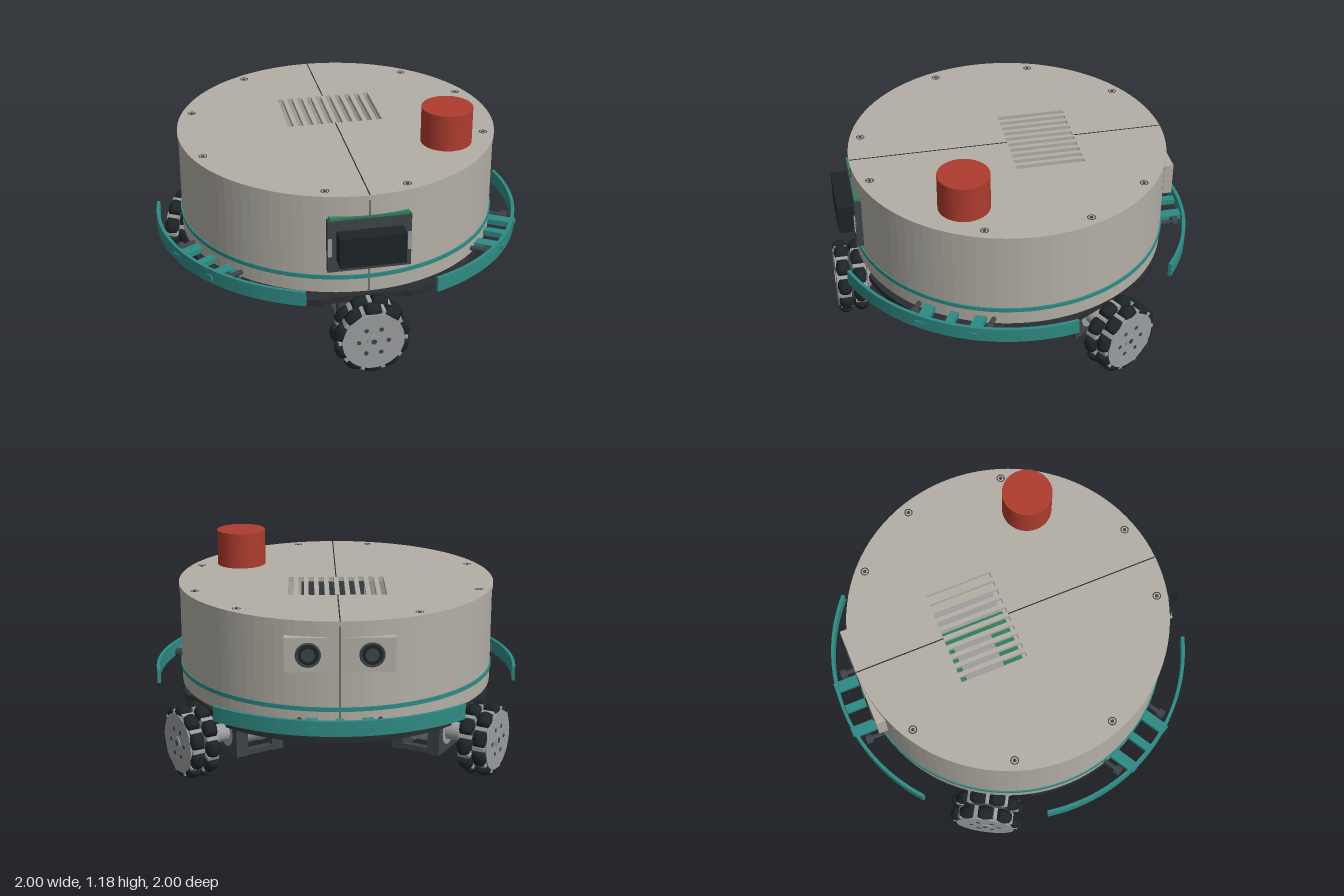
import * as THREE from 'three';

const paint = (color) => new THREE.MeshStandardMaterial({ color, side: THREE.DoubleSide });
const M = {
  shell: paint(0xb3afa6), grey: paint(0x9a9c9e), dark: paint(0x3c4347), plate: paint(0x2a2d2f),
  rubber: paint(0x1d2427), teal: paint(0x2f8a84), red: paint(0xae3c2e), green: paint(0x2f7f58),
};

function add(parent, name, geo, mat, x = 0, y = 0, z = 0) {
  const mesh = new THREE.Mesh(geo, mat);
  mesh.name = name;
  mesh.position.set(x, y, z);
  parent.add(mesh);
  return mesh;
}
const box = (w, h, d) => new THREE.BoxGeometry(w, h, d);
const cyl = (r, h, n = 32, r2 = r) => new THREE.CylinderGeometry(r2, r, h, n);
const cylZ = (r, h, n = 32, r2 = r) => cyl(r, h, n, r2).rotateX(Math.PI / 2);

// Horizontal slab: plan shape (x, -z) extruded upwards
const slab = (shape, depth, seg = 48) =>
  new THREE.ExtrudeGeometry(shape, { depth, bevelEnabled: false, curveSegments: seg }).rotateX(-Math.PI / 2);

const disc = (r) => new THREE.Shape().absarc(0, 0, r, 0, Math.PI * 2);
function ring(outer, inner) {
  const s = disc(outer);
  s.holes.push(new THREE.Path().absarc(0, 0, inner, 0, Math.PI * 2, true));
  return s;
}
function rectPath(x0, y0, x1, y1) {
  return new THREE.Path([[x0, y0], [x0, y1], [x1, y1], [x1, y0]].map(([x, y]) => new THREE.Vector2(x, y)));
}
function spoke(parent, name, angle) {
  const g = new THREE.Group();
  g.name = name;
  g.rotation.y = angle;
  parent.add(g);
  return g;
}

function buildBody(root) {
  const body = new THREE.Group();
  body.name = 'body';
  root.add(body);
  add(body, 'shellWall', slab(ring(0.857, 0.83), 0.525), M.shell, 0, 0.43);
  add(body, 'shellFloor', slab(disc(0.83), 0.015), M.shell, 0, 0.435);
  add(body, 'trimRing', slab(ring(0.864, 0.85), 0.022), M.teal, 0, 0.51);

  // Lid with ventilation slots
  const lid = disc(0.862);
  for (let i = 0; i < 10; i++) {
    const x = -0.246 + i * 0.0547;
    lid.holes.push(rectPath(x - 0.015, 0, x + 0.015, 0.37));
  }
  add(body, 'lid', slab(lid, 0.025), M.shell, 0, 0.957);
  add(body, 'circuitBoard', box(0.44, 0.02, 0.42), M.green, -0.06, 0.6, -0.18);
  add(body, 'boardModule', box(0.2, 0.06, 0.22), M.grey, -0.06, 0.64, -0.2);
  add(body, 'innerTray', box(0.12, 0.02, 0.4), M.grey, 0.22, 0.6, -0.18);

  // Lid screws
  for (const [x, z] of [[-0.405, -0.7], [0.52, -0.62], [0.757, -0.277], [-0.757, -0.277],
    [-0.757, 0.27], [0.757, 0.27], [-0.21, 0.775], [0.21, 0.775]]) {
    add(body, 'lidScrewRim', new THREE.RingGeometry(0.017, 0.023, 20).rotateX(-Math.PI / 2), M.dark, x, 0.9835, z);
    add(body, 'lidScrew', cyl(0.01, 0.004, 6), M.dark, x, 0.983, z);
  }

  // Seam between the two shell halves
  for (const [z, d] of [[0.43, 0.86], [-0.615, 0.49]]) add(body, 'lidSeam', box(0.006, 0.002, d), M.plate, 0, 0.982, z);
  for (const z of [0.858, -0.858]) add(body, 'wallSeam', box(0.005, 0.52, 0.004), M.plate, 0, 0.695, z);

  // Stop button
  add(body, 'stopButton', cyl(0.136, 0.2, 48), M.red, 0.533, 1.08, 0.332);

  // Front display
  add(body, 'displayFrame', box(0.43, 0.29, 0.06), M.dark, 0, 0.712, 0.837);
  add(body, 'displayEdge', box(0.41, 0.014, 0.05), M.green, 0, 0.862, 0.838);
  add(body, 'displayBox', box(0.34, 0.165, 0.1), M.rubber, 0, 0.717, 0.905);
  for (const x of [-0.205, 0.205]) add(body, 'displayClip', box(0.02, 0.1, 0.012), M.grey, x, 0.71, 0.867);

  // Rear camera pair
  for (const s of [-1, 1]) {
    add(body, 'cameraPlate', box(0.277, 0.18, 0.05), M.shell, s * 0.1405, 0.81, -0.837);
    add(body, 'cameraRim', new THREE.TorusGeometry(0.058, 0.007, 10, 32), M.dark, s * 0.16, 0.81, -0.863);
    add(body, 'cameraBarrel', cylZ(0.055, 0.01), M.rubber, s * 0.16, 0.81, -0.861);
    add(body, 'cameraLens', cylZ(0.034, 0.008), M.dark, s * 0.16, 0.81, -0.866);
  }
  add(body, 'cameraSeam', box(0.005, 0.18, 0.004), M.plate, 0, 0.81, -0.864);
}

function buildChassis(root) {
  const chassis = new THREE.Group();
  chassis.name = 'chassis';
  root.add(chassis);
  // Round base plate with a notch for each wheel
  const pts = [];
  for (let i = 0; i < 360; i += 2) {
    const t = ((i + 60) % 120) - 60;               // degrees from the nearest wheel
    const a = THREE.MathUtils.degToRad(i);
    const r = Math.abs(t) <= 15 ? 0.8 / Math.cos(THREE.MathUtils.degToRad(t)) : 0.85;
    pts.push(new THREE.Vector2(Math.sin(a) * r, -Math.cos(a) * r));
  }
  add(chassis, 'basePlate', slab(new THREE.Shape(pts), 0.035), M.plate, 0, 0.337);
  add(chassis, 'upperPlate', slab(disc(0.6), 0.025), M.dark, 0, 0.385);
  add(chassis, 'lowerBoard', box(0.35, 0.02, 0.5), M.green, 0.42, 0.418, -0.25);
  add(chassis, 'underBracket', box(0.22, 0.03, 0.09), M.dark, 0, 0.322, -0.25);
  for (let i = 0; i < 12; i++) {
    const a = (i + 0.5) * Math.PI / 6;
    add(chassis, 'standoff', cyl(0.02, 0.07, 12), M.dark, Math.sin(a) * 0.74, 0.402, Math.cos(a) * 0.74);
  }
}

function buildWheel(parent) {
  const wheel = new THREE.Group();
  wheel.name = 'omniWheel';
  wheel.position.set(0, 0.205, 0.905);
  parent.add(wheel);
  add(wheel, 'wheelCore', cylZ(0.142, 0.15, 40), M.dark);
  const profile = [[0, -0.041], [0.029, -0.041], [0.036, -0.025], [0.04, 0], [0.036, 0.025], [0.029, 0.041], [0, 0.041]];
  const roller = new THREE.LatheGeometry(profile.map(([x, y]) => new THREE.Vector2(x, y)), 16);
  const R = 0.165, count = 10;
  [-1, 1].forEach((side, row) => {
    const z = side * 0.043;
    add(wheel, 'faceDisc', cylZ(0.162, 0.014, 40), M.grey, 0, 0, side * 0.076);
    for (let i = 0; i < count; i++) {
      const a = (i + row * 0.5) * Math.PI * 2 / count, b = a + Math.PI / count;
      add(wheel, 'roller', roller, M.rubber, Math.cos(a) * R, Math.sin(a) * R, z).rotation.z = a;
      add(wheel, 'rollerHolder', box(0.045, 0.02, 0.066), M.grey, Math.cos(b) * 0.158, Math.sin(b) * 0.158, z).rotation.z = b;
    }
    for (let i = 0; i < 6; i++) {
      const a = i * Math.PI / 3;
      add(wheel, 'hubHole', cylZ(0.012, 0.003, 12), M.dark, Math.cos(a) * 0.078, Math.sin(a) * 0.078, side * 0.083);
    }
    add(wheel, 'hubCap', cylZ(0.036, 0.008, 24), M.grey, 0, 0, side * 0.084);
    add(wheel, 'axleEnd', cylZ(0.015, 0.006, 16), M.dark, 0, 0, side * 0.087);
  });
}

function buildDrive(root, angle) {
  const drive = spoke(root, 'driveUnit', angle);
  const y = 0.21;
  buildWheel(drive);
  // Shaft, coupling and motor, along the spoke
  add(drive, 'hubFlange', cylZ(0.06, 0.03, 32, 0.1), M.grey, 0, y, 0.8);
  add(drive, 'shaftCoupling', cylZ(0.05, 0.13), M.grey, 0, y, 0.75);
  add(drive, 'gearbox', cylZ(0.08, 0.2), M.grey, 0, y, 0.6);
  add(drive, 'motor', cylZ(0.083, 0.27), M.grey, 0, y, 0.375);

  // Bracket frames with a round opening, joined by rails
  const frame = new THREE.Shape([[-0.125, -0.11], [0.125, -0.11], [0.125, 0.13], [-0.125, 0.13]]
    .map(([a, b]) => new THREE.Vector2(a, b)));
  frame.holes.push(new THREE.Path().absarc(0, 0, 0.078, 0, Math.PI * 2, true));
  const frameGeo = new THREE.ExtrudeGeometry(frame, { depth: 0.07, bevelEnabled: false, curveSegments: 24 });
  for (const z of [0.415, 0.63]) add(drive, 'motorBracket', frameGeo, M.dark, 0, y, z);
  for (const s of [-1, 1]) {
    add(drive, 'lowerRail', box(0.035, 0.03, 0.17), M.dark, s * 0.105, 0.117, 0.56);
    add(drive, 'upperRail', box(0.05, 0.035, 0.28), M.dark, s * 0.12, 0.322, 0.555);
  }
}

function buildBumper(root, angle) {
  const g = spoke(root, 'bumperUnit', angle);
  const half = THREE.MathUtils.degToRad(40), mid = -Math.PI / 2;
  const arc = new THREE.Shape();
  arc.absarc(0, 0, 1, mid - half, mid + half);
  arc.absarc(0, 0, 0.982, mid + half, mid - half, true);
  add(g, 'bumperStrip', slab(arc, 0.08, 40), M.teal, 0, 0.43);
  // Struts back to the chassis
  for (const x of [-0.14, 0, 0.14]) {
    add(g, 'bumperStrut', box(x ? 0.06 : 0.045, 0.03, 0.27), M.teal, x, 0.458, 0.845);
    if (x) add(g, 'strutTab', box(0.05, 0.025, 0.022), M.teal, x, 0.465, 0.985);
  }
  add(g, 'crossBar', box(0.34, 0.03, 0.035), M.teal, 0, 0.412, 0.8);
  // Contact plungers either side
  for (const s of [-1, 1]) {
    add(g, 'plungerRod', cylZ(0.013, 0.13, 12), M.dark, s * 0.205, 0.46, 0.855);
    add(g, 'plungerHead', cylZ(0.027, 0.035, 16), M.dark, s * 0.205, 0.46, 0.92);
    add(g, 'plungerBlock', box(0.07, 0.05, 0.09), M.dark, s * 0.205, 0.405, 0.76);
  }
}

export function createModel() {
  const root = new THREE.Group();
  root.name = 'wheeledRobotBase';
  buildBody(root);
  buildChassis(root);
  const third = Math.PI * 2 / 3;
  for (const k of [-1, 0, 1]) {
    buildDrive(root, k * third);
    buildBumper(root, Math.PI + k * third);
  }
  return root;
}
